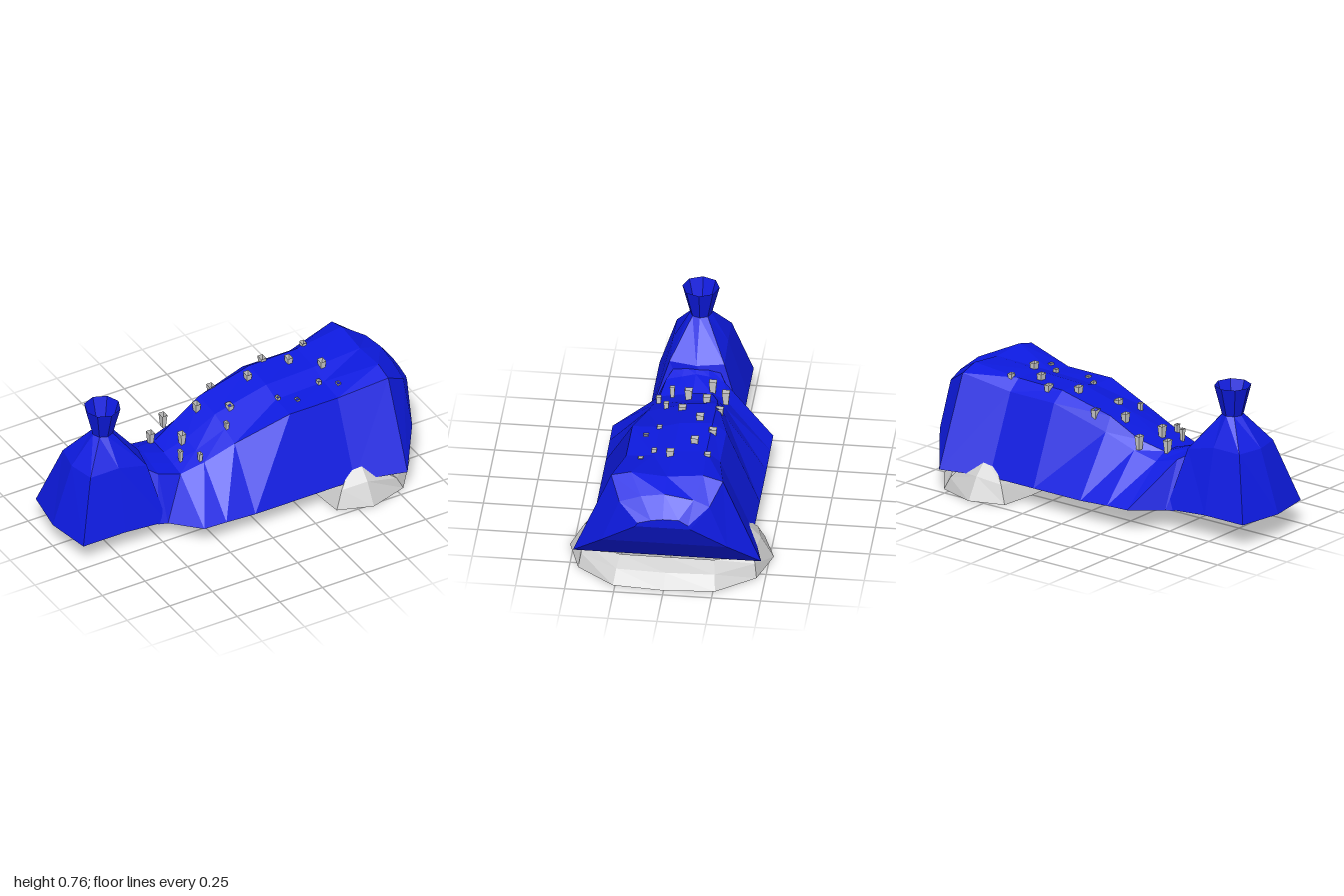
import * as THREE from 'three';

const blue = new THREE.MeshStandardMaterial({ color: 0x0d1ae0, flatShading: true, side: THREE.DoubleSide });
const grey = new THREE.MeshStandardMaterial({ color: 0xcccccc, flatShading: true, side: THREE.DoubleSide });

// Skin a list of equal-length closed rings of [x, y, z] points, with optional end caps.
function loft(rings, capStart, capEnd) {
  const n = rings[0].length, index = [];
  for (let i = 0; i < rings.length - 1; i++) {
    for (let j = 0; j < n; j++) {
      const k = (j + 1) % n;
      const a = i * n + j, b = a + n, c = (i + 1) * n + k, d = i * n + k;
      index.push(a, b, c, a, c, d);
    }
  }
  const last = (rings.length - 1) * n;
  for (let j = 1; j < n - 1; j++) {
    if (capStart) index.push(0, j, j + 1);
    if (capEnd) index.push(last, last + j + 1, last + j);
  }
  const geo = new THREE.BufferGeometry();
  geo.setAttribute('position', new THREE.Float32BufferAttribute(rings.flat(2), 3));
  geo.setIndex(index);
  const flat = geo.toNonIndexed();
  flat.computeVertexNormals();
  return flat;
}

function add(group, name, geo, material) {
  const mesh = new THREE.Mesh(geo, material);
  mesh.name = name;
  group.add(mesh);
  return mesh;
}

// Body cross-sections: x, bottom half width and height, shoulder half width and height,
// then front ridge z/y, centre y, back ridge z/y.
const sections = [
  [-0.52, 0.24, 0.11, 0.12, 0.38, 0.06, 0.40, 0.41, -0.06, 0.40],
  [-0.47, 0.25, 0.105, 0.15, 0.35, 0.07, 0.37, 0.39, -0.07, 0.38],
  [-0.35, 0.41, 0.125, 0.17, 0.32, 0.09, 0.335, 0.35, -0.10, 0.355],
  [-0.22, 0.41, 0.12, 0.185, 0.355, 0.10, 0.375, 0.39, -0.14, 0.40],
  [-0.05, 0.41, 0.11, 0.20, 0.42, 0.10, 0.45, 0.48, -0.16, 0.495],
  [0.25, 0.41, 0.11, 0.24, 0.52, 0.10, 0.525, 0.555, -0.17, 0.57],
  [0.53, 0.41, 0.11, 0.24, 0.52, 0.10, 0.535, 0.565, -0.17, 0.575],
  [0.80, 0.48, 0.11, 0.285, 0.575, 0.185, 0.60, 0.585, -0.185, 0.605],
  [0.92, 0.32, 0.26, 0.23, 0.495, 0.12, 0.535, 0.555, -0.15, 0.53],
  [0.995, 0.14, 0.40, 0.13, 0.42, 0.06, 0.44, 0.45, -0.08, 0.45],
];

function bodyGeometry() {
  const rings = sections.map(([x, w, yb, s, ys, zf, yf, yc, zk, yk]) => [
    [x, yb, w], [x, ys, s], [x, yf, zf], [x, yc, 0], [x, yk, zk], [x, ys, -s], [x, yb, -w],
  ]);
  return loft(rings, true, true);
}

// Eight-sided horizontal ring: +x side, corners, middle, -x side, -x corners.
function headRing(y, yFront, xFront, xCorner, xBack, xBackCorner, z) {
  const xm = (xCorner + xBackCorner) / 2;
  return [
    [xFront, yFront, 0], [xCorner, yFront, z], [xm, y, z], [xBackCorner, y, z],
    [xBack, y, 0], [xBackCorner, y, -z], [xm, y, -z], [xCorner, yFront, -z],
  ];
}

const roundRing = (r, y) => Array.from({ length: 8 }, (_, k) => {
  const a = k * Math.PI / 4;
  return [-0.71 + r * Math.cos(a), y, r * Math.sin(a)];
});

// Skirt outline scaled about its middle; heights vary so the ends climb the body sides.
const skirtOutline = [
  [0.96, 0], [0.94, 0.26], [0.79, 0.455], [0.58, 0.52], [0.40, 0.455], [0.38, 0.26], [0.38, 0],
];
function skirtRing(t) {
  const half = skirtOutline.map(([x, z], k) => {
    const top = [0.10, 0.10, 0.11, 0.19, 0.15, 0.11, 0.11][k];
    const xt = [0.80, 0.80, 0.72, 0.58, 0.50, 0.46, 0.46][k];
    const zt = [0, 0.24, 0.43, 0.38, 0.39, 0.26, 0][k];
    // bulging: rises first, then leans inward
    const lean = Math.pow(t, 1.5);
    return [x + (xt - x) * lean, top * t, z + (zt - z) * lean];
  });
  const mirrored = half.slice(1, -1).reverse().map(([x, y, z]) => [x, y, -z]);
  return [...half, ...mirrored];
}

// Studs: x, z, top height, size.
const studs = [
  [-0.37, -0.10, 0.42, 1], [-0.25, -0.18, 0.44, 1], [-0.25, 0.01, 0.44, 1],
  [-0.31, 0.10, 0.41, 0.65], [-0.23, 0.16, 0.40, 0.65], [-0.10, -0.10, 0.505, 1],
  [-0.04, 0.10, 0.49, 0.65], [0.03, -0.18, 0.52, 1], [0.03, 0.01, 0.52, 1],
  [0.20, -0.10, 0.585, 1], [0.26, 0.10, 0.54, 0.65], [0.33, -0.18, 0.588, 1],
  [0.34, 0.16, 0.535, 0.65], [0.44, -0.10, 0.60, 1], [0.50, 0.10, 0.555, 0.65],
  [0.57, 0.01, 0.60, 1], [0.57, -0.18, 0.595, 0.8], [0.58, 0.16, 0.55, 0.65],
];

export function createModel() {
  const group = new THREE.Group();
  group.name = 'model';

  add(group, 'body', bodyGeometry(), blue);

  // Tapered head that narrows to a neck and opens into a flared funnel
  const head = [
    headRing(0.13, 0.11, -0.45, -0.47, -1.0, -0.96, 0.24),
    headRing(0.46, 0.42, -0.50, -0.53, -0.89, -0.86, 0.14),
    roundRing(0.055, 0.61),
    roundRing(0.095, 0.765),
    roundRing(0.05, 0.62),
  ];
  add(group, 'headAndFunnel', loft(head, true, true), blue);

  // Open foot skirt under the wide end
  add(group, 'footSkirt', loft([0, 0.6, 1].map(skirtRing), false, false), grey);

  // Small flared square tubes on the sloping top
  const studGroup = new THREE.Group();
  studGroup.name = 'studs';
  const studGeo = new THREE.CylinderGeometry(0.7071, 0.45, 1, 4, 1, true).rotateY(Math.PI / 4);
  for (const [x, z, top, s] of studs) {
    const stud = add(studGroup, 'stud', studGeo, grey);
    stud.scale.set(0.03 * s, 0.075, 0.04 * s);
    stud.position.set(x, top - 0.0375, z);
  }
  group.add(studGroup);
  return group;
}
